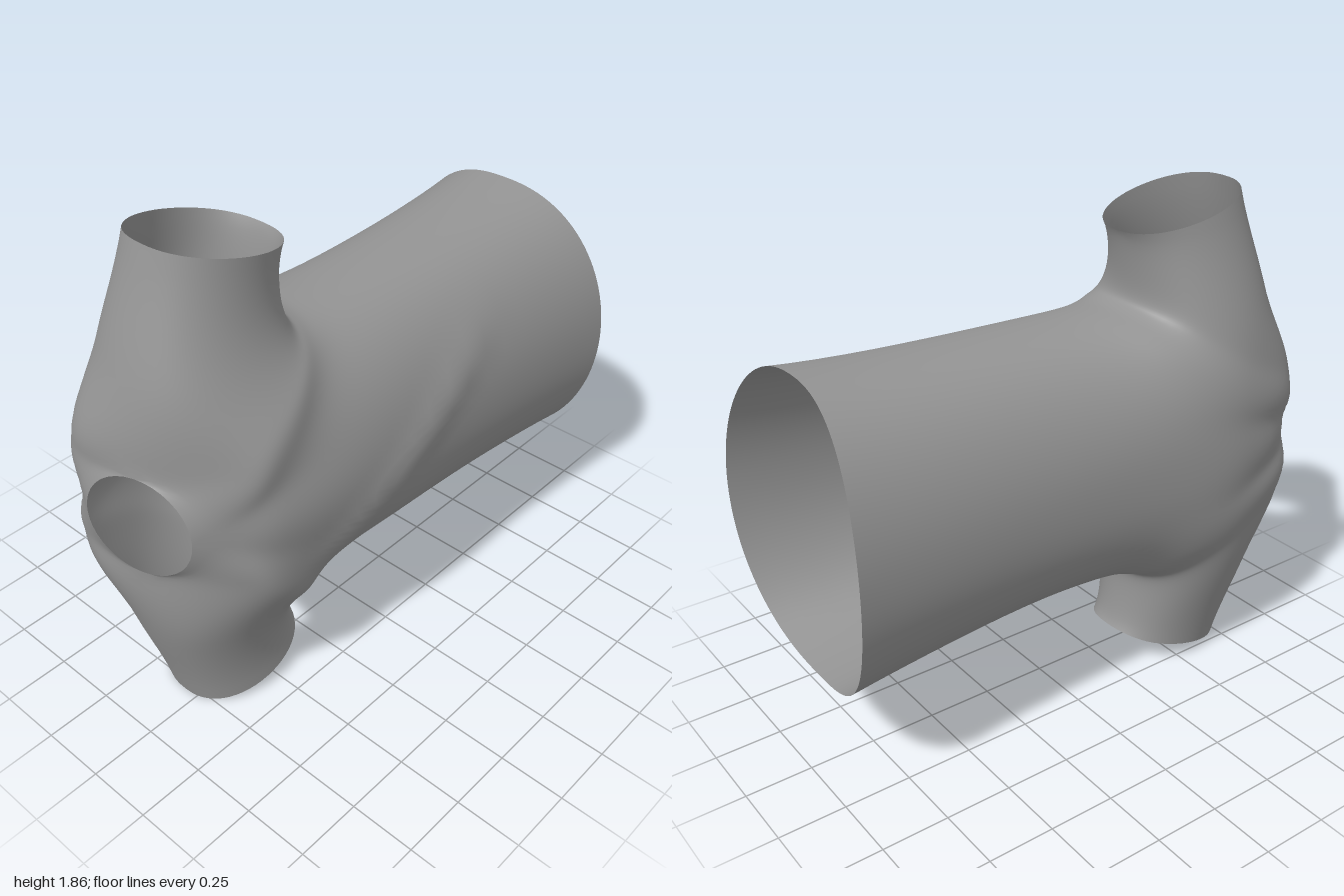
import * as THREE from 'three';
import { mergeVertices } from 'three/addons/utils/BufferGeometryUtils.js';

const MID = 0.93; // height of the middle line between the two sleeves

// Stations from the hem, round the armpit, to the sleeve cuff.
// [fold z, fold y, inner z, inner y, start angle, centre x, depth +x, depth -x]
const STATIONS = [
  [-0.94, 1.485, -0.94, MID, 90, 0, 0.47, 0.47],
  [-0.7, 1.462, -0.7, MID, 90, 0, 0.445, 0.445],
  [-0.35, 1.452, -0.35, MID, 90, 0, 0.41, 0.425],
  [-0.05, 1.445, 0, MID, 90, 0, 0.415, 0.415],
  [0.08, 1.447, 0.3, MID, 90, -0.01, 0.405, 0.43],
  [0.16, 1.45, 0.5, MID, 90, -0.02, 0.395, 0.445],
  [0.21, 1.455, 0.68, MID, 70, -0.03, 0.38, 0.435],
  [0.25, 1.46, 0.84, MID, 46, -0.03, 0.37, 0.42],
  [0.28, 1.465, 0.945, MID, 30, -0.03, 0.365, 0.4],   // neck opening starts
  [0.3, 1.475, 0.945, 1.03, 25, -0.03, 0.355, 0.39],
  [0.315, 1.485, 0.95, 1.1, 14, -0.035, 0.345, 0.375],
  [0.325, 1.5, 0.955, 1.127, 0, -0.04, 0.33, 0.36],   // neck opening ends
  [0.328, 1.54, 0.945, 1.32, 0, -0.05, 0.28, 0.33],
  [0.322, 1.6, 0.893, 1.5, 0, -0.06, 0.24, 0.285],
  [0.308, 1.67, 0.835, 1.68, 0, -0.06, 0.225, 0.245],
  [0.29, 1.74, 0.78, 1.86, 0, -0.06, 0.22, 0.22],
];
const SUB = 3, ARC = 28;
const NECK_FIRST = 8 * SUB, NECK_LAST = 11 * SUB, NECK_R = 0.19;
const smooth = THREE.MathUtils.smoothstep;

// Smooth interpolation of every station value
function stationAt(row) {
  const last = STATIONS.length - 1;
  const i = Math.min(Math.floor(row / SUB), last - 1);
  const t = row / SUB - i;
  const s = (k) => STATIONS[Math.min(Math.max(k, 0), last)];
  return s(i).map((p1, k) => {
    const p0 = s(i - 1)[k], p2 = s(i + 1)[k], p3 = s(i + 2)[k];
    if (t === 0) return p1;
    if (t === 1) return p2;
    return p1 + 0.5 * t * (p2 - p0 + t * (2 * p0 - 5 * p1 + 4 * p2 - p3 + t * (3 * (p1 - p2) + p3 - p0)));
  });
}

// One quarter of the cloth; side picks +x or -x, half picks upper or lower sleeve
function addQuarter(side, half, positions, index) {
  const base = positions.length / 3;
  const rows = (STATIONS.length - 1) * SUB;
  for (let i = 0; i <= rows; i++) {
    const [az, ay, bz, byRaw, degRaw, cx, rp, rn] = stationAt(i);
    const by = Math.max(byRaw, MID);
    const start = THREE.MathUtils.degToRad(Math.min(Math.max(degRaw, 0), 90));
    for (let j = 0; j <= ARC; j++) {
      const a = start + (Math.PI - start) * j / ARC;
      const u = (Math.cos(a) + 1) / (Math.cos(start) + 1);
      const depth = Math.pow(Math.max(Math.sin(a), 0), 0.85);
      let x = cx + side * (side > 0 ? rp : rn) * depth;
      let y = ay + (by - ay) * u;
      let z = az + (bz - az) * u;
      if (j === 0 && i >= NECK_FIRST && i <= NECK_LAST) { // round neck rim
        const t = (Math.PI / 2) * (i - NECK_FIRST) / (NECK_LAST - NECK_FIRST);
        x = side * NECK_R * Math.cos(t);
        y = MID + NECK_R * 1.03 * Math.sin(t);
        z = 0.945;
      }
      positions.push(x, MID + half * (y - MID), z);
    }
  }
  const w = ARC + 1;
  for (let i = 0; i < rows; i++) {
    for (let j = 0; j < ARC; j++) {
      const a = base + i * w + j, b = a + 1, c = a + w, d = c + 1;
      if (side * half > 0) index.push(a, b, c, b, d, c);
      else index.push(a, c, b, b, c, d);
    }
  }
}

// Even out the cloth with the open rims held; smoothing the lost part
// once more and adding it back keeps the full volume
function relax(geometry, passes) {
  const pos = geometry.attributes.position.array, idx = geometry.index.array;
  const next = Array.from({ length: pos.length / 3 }, () => new Set());
  for (let f = 0; f < idx.length; f += 3) {
    for (let k = 0; k < 3; k++) next[idx[f + k]].add(idx[f + (k + 1) % 3]);
  }
  const rim = new Set();
  next.forEach((set, v) => set.forEach((n) => {
    if (!next[n].has(v)) rim.add(v).add(n);
  }));
  const average = (values) => {
    let field = values;
    for (let p = 0; p < passes; p++) {
      const old = field;
      field = old.slice();
      next.forEach((set, v) => {
        if (rim.has(v)) return;
        for (let k = 0; k < 3; k++) {
          let sum = 0;
          set.forEach((n) => { sum += old[n * 3 + k]; });
          field[v * 3 + k] = 0.5 * (old[v * 3 + k] + sum / set.size);
        }
      });
    }
    return field;
  };
  const soft = average(pos);
  const lost = average(pos.map((p, i) => p - soft[i]));
  pos.set(soft.map((p, i) => p + lost[i]));
}

// Final shaping: curved hem, slanted neck, raised lower edge and a soft diagonal fold
function shape(x, y, z) {
  const hem = smooth(-z, 0.45, 0.94);
  const neck = smooth(z, 0.6, 0.95) * (1 - smooth(Math.abs(y - MID), 0.2, 0.55));
  const low = Math.min(Math.max((MID - y) / 0.5, 0), 1) ** 2;
  const lift = 0.03 * low * smooth(z, -0.9, -0.1) * (1 - smooth(z, 0.15, 0.4));
  const d = (z - 0.5) * 0.6 + (y - 0.6) * 0.8;
  const along = smooth(z, -0.45, -0.15) * (1 - smooth(z, 0.3, 0.6));
  const fold = 0.02 * Math.exp(-((d / 0.07) ** 2)) * along * smooth(x, 0.1, 0.3);
  return [x + fold, y + lift, z - 0.06 * hem * (x / 0.47) ** 2 - 0.29 * neck * x];
}

export function createModel() {
  const group = new THREE.Group();
  group.name = 'shirt';
  const positions = [], index = [];
  for (const side of [1, -1]) {
    for (const half of [1, -1]) addQuarter(side, half, positions, index);
  }
  let geometry = new THREE.BufferGeometry();
  geometry.setAttribute('position', new THREE.Float32BufferAttribute(positions, 3));
  geometry.setIndex(index);
  // Weld the quarters so that the cloth runs smoothly over the seams
  geometry = mergeVertices(geometry, 1e-4);
  relax(geometry, 36);
  const pos = geometry.attributes.position;
  for (let i = 0; i < pos.count; i++) {
    pos.setXYZ(i, ...shape(pos.getX(i), pos.getY(i), pos.getZ(i)));
  }
  geometry.computeVertexNormals();
  const cloth = new THREE.Mesh(
    geometry,
    new THREE.MeshStandardMaterial({ color: 0x949494, side: THREE.DoubleSide })
  );
  cloth.name = 'shirtCloth';
  group.add(cloth);
  return group;
}
